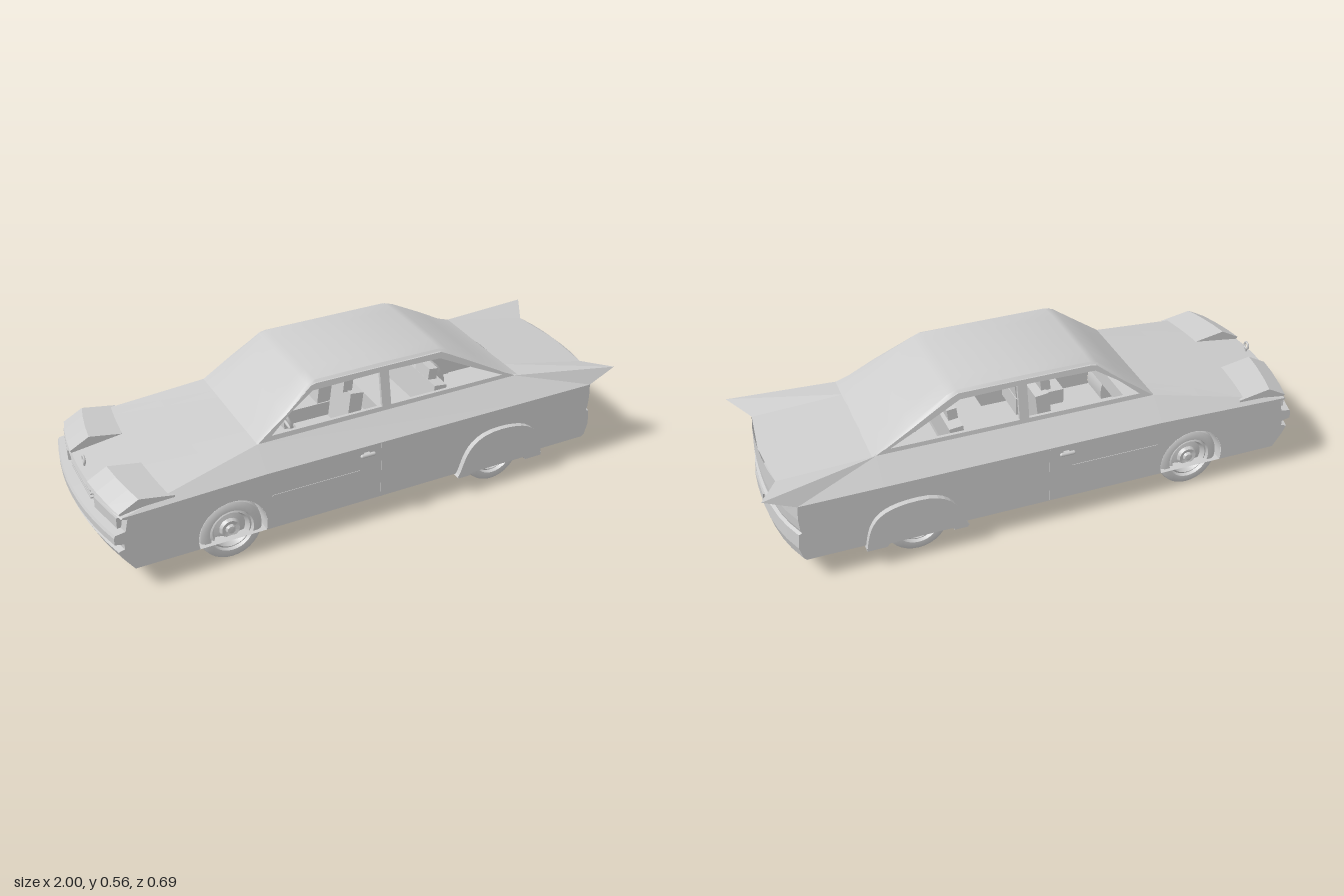
import * as THREE from 'three';
import { toCreasedNormals } from 'three/addons/utils/BufferGeometryUtils.js';

const flat = new THREE.MeshStandardMaterial({ color: 0xcccccc, flatShading: true, side: THREE.DoubleSide });
const smooth = new THREE.MeshStandardMaterial({ color: 0xcccccc, side: THREE.DoubleSide });
const lerp = THREE.MathUtils.lerp;
const W = 0.325, BELT = 0.245;
const ts = [-1, -0.8, -0.62, -0.4, -0.2, 0, 0.2, 0.4, 0.62, 0.8, 1];
const noseCurve = t => 0.045 * t * t;
const tailCurve = t => -0.06 * Math.pow(Math.abs(t), 2.5);

export function createModel() {
  const car = new THREE.Group();
  car.name = 'car';

  function add(name, geometry, material = flat, parent = car) {
    const mesh = new THREE.Mesh(geometry, material);
    mesh.name = name;
    parent.add(mesh);
    return mesh;
  }
  function box(name, x, y, z, w, h, d) {
    const mesh = add(name, new THREE.BoxGeometry(w, h, d));
    mesh.position.set(x, y, z);
    return mesh;
  }
  // Surface through rows of [x, y, z] points
  function surface(name, rows, material = flat) {
    const n = rows[0].length, index = [];
    for (let i = 0; i < rows.length - 1; i++) {
      for (let j = 0; j < n - 1; j++) {
        const a = i * n + j, b = a + n;
        index.push(a, a + 1, b, b, a + 1, b + 1);
      }
    }
    const g = new THREE.BufferGeometry();
    g.setAttribute('position', new THREE.Float32BufferAttribute(rows.flat(2), 3));
    g.setIndex(index);
    g.computeVertexNormals();
    return add(name, material === smooth ? toCreasedNormals(g, 0.5) : g, material);
  }
  const polygon = pts => new THREE.Shape(pts.map(p => new THREE.Vector2(...p)));

  // Nose and tail: [y, x] profiles swept across the curved width
  const nose = [[0.31, -0.965], [0.295, -0.97], [0.29, -0.95], [0.245, -0.96], [0.24, -0.995], [0.23, -1],
    [0.205, -1], [0.198, -0.968], [0.178, -0.968], [0.172, -0.99], [0.14, -0.975], [0.09, -0.94]];
  const tail = [[0.343, 0.95], [0.262, 0.953], [0.22, 0.95], [0.205, 0.945], [0.2, 0.957], [0.145, 0.962], [0.1, 0.95], [0.09, 0.94]];
  surface('noseAndFrontBumper', nose.map(([y, x], i) =>
    ts.map(t => [x + noseCurve(t), i ? y : y - 0.01 * t * t, W * t])));
  surface('tailAndRearBumper', tail.map(([y, x], i) =>
    ts.map(t => [x + tailCurve(t), i ? y : y - 0.028 * Math.max(0, (Math.abs(t) - 0.62) / 0.38), W * t])).reverse());
  surface('underbody', [ts.map(t => [0.94 + tailCurve(t), 0.09, W * t]), ts.map(t => [-0.94 + noseCurve(t), 0.09, W * t])]);

  // Hood, narrowing towards the windscreen
  surface('hood', [0, 0.33, 0.66, 1].map(u => ts.map(t => [
    lerp(-0.965 + noseCurve(t), -0.42, u), lerp(0.31 - 0.01 * t * t, 0.385, u), t * lerp(W, BELT, u)])).reverse());

  // Trunk lid sunk between the two fins
  surface('trunkAndFins', [
    [[0.6, 0.388, BELT], [0.61, 0.388, 0.155], [0.615, 0.39, 0], [0.61, 0.388, -0.155], [0.6, 0.388, -BELT]],
    [[1, 0.36, 0.318], [0.932, 0.343, 0.2], [0.95, 0.343, 0], [0.932, 0.343, -0.2], [1, 0.36, -0.318]]]);

  // Windscreen, roof and rear window in one skin: [x, y, half width, edge drop]
  const roofStations = [[-0.42, 0.385, 0.245, 0], [-0.31, 0.472, 0.235, 0.01], [-0.215, 0.545, 0.217, 0.014],
    [-0.185, 0.556, 0.215, 0.018], [0.06, 0.558, 0.215, 0.018], [0.3, 0.556, 0.215, 0.018],
    [0.335, 0.543, 0.217, 0.015], [0.47, 0.468, 0.235, 0.01], [0.565, 0.41, 0.243, 0.004], [0.615, 0.388, 0.245, 0]];
  surface('roofAndWindows', roofStations.map(([x, y, w, d]) =>
    [[-1, 1], [-0.93, 0.3], [-0.6, 0.05], [0, 0], [0.6, 0.05], [0.93, 0.3], [1, 1]].map(([k, f]) => [x, y - d * f, w * k])), smooth);

  for (const s of [1, -1]) {
    const side = s > 0 ? 'left' : 'right';

    // Lower side panel with an open front wheel arch
    const panel = new THREE.Shape();
    panel.moveTo(-0.92, 0.30);
    nose.slice(1).forEach(([y, x]) => panel.lineTo(x + 0.045, y));
    panel.lineTo(-0.67, 0.09);
    panel.absarc(-0.55, 0.12, 0.124, Math.PI + 0.245, -0.245, true);
    panel.lineTo(0.88, 0.09);
    tail.slice(1).reverse().forEach(([y, x]) => panel.lineTo(x - 0.06, y));
    panel.lineTo(0.89, 0.315);
    panel.lineTo(-0.42, 0.315);
    add(side + 'SidePanel', new THREE.ShapeGeometry(panel, 24)).position.z = s * W;
    const arch = [];
    for (let i = 0; i <= 16; i++) {
      const a = lerp(-0.245, Math.PI + 0.245, i / 16);
      arch.push([-0.55 + 0.124 * Math.cos(a), 0.12 + 0.124 * Math.sin(a)]);
    }
    surface(side + 'WheelWell', [0.2, W].map(z => arch.map(p => [...p, s * z])), smooth);
    add(side + 'WheelWellBack', new THREE.ShapeGeometry(polygon(arch))).position.z = s * 0.2;

    // Sloping shoulder that runs out into the tail fin
    surface(side + 'Shoulder', [
      [[-0.92, 0.3, s * W], [-0.42, 0.315, s * W], [0.6, 0.315, s * W], [0.89, 0.315, s * W]],
      [[-0.92, 0.3, s * W], [-0.42, 0.385, s * BELT], [0.6, 0.388, s * BELT], [1, 0.36, s * 0.318]]]);
    surface(side + 'FinUnderside', [
      [[0.89, 0.315, s * W], [1, 0.36, s * 0.318]],
      [[0.932, 0.343, s * 0.2], [0.932, 0.343, s * 0.2]]]);
    box(side + 'TailLight', 0.906, 0.325, s * 0.28, 0.03, 0.018, 0.06).rotation.y = s * 0.45;

    // Window frame, leaning inwards towards the roof
    const frame = polygon([[-0.42, 0.382], [-0.205, 0.54], [-0.185, 0.544], [0.3, 0.544], [0.335, 0.528], [0.6, 0.388], [0.6, 0.382]]);
    frame.holes.push(
      polygon([[-0.365, 0.402], [-0.285, 0.468], [-0.2, 0.522], [0.055, 0.526], [0.055, 0.402]]),
      polygon([[0.09, 0.402], [0.09, 0.526], [0.295, 0.522], [0.44, 0.452], [0.55, 0.402]]));
    const frameGeo = new THREE.ExtrudeGeometry(frame, { depth: 0.012, bevelEnabled: false });
    const p = frameGeo.attributes.position;
    for (let i = 0; i < p.count; i++) {
      p.setZ(i, s * (BELT - 0.006 - (p.getY(i) - 0.385) * 0.19) + p.getZ(i) - 0.006);
    }
    frameGeo.computeVertexNormals();
    add(side + 'WindowFrame', frameGeo);

    // Rear fender skirt with its two bottom feet
    const skirt = new THREE.Shape();
    skirt.moveTo(0.315, 0.085);
    skirt.bezierCurveTo(0.345, 0.11, 0.33, 0.243, 0.49, 0.243);
    skirt.bezierCurveTo(0.65, 0.243, 0.665, 0.18, 0.68, 0.078);
    skirt.lineTo(0.61, 0.078);
    skirt.lineTo(0.6, 0.09);
    skirt.lineTo(0.38, 0.09);
    skirt.lineTo(0.37, 0.085);
    add(side + 'FenderSkirt', new THREE.ExtrudeGeometry(skirt, { depth: 0.025, bevelEnabled: false, curveSegments: 12 }))
      .position.z = s > 0 ? 0.32 : -0.345;
    box(side + 'SkirtFrontFoot', 0.345, 0.085, s * 0.297, 0.05, 0.012, 0.094);
    box(side + 'SkirtRearFoot', 0.645, 0.083, s * 0.297, 0.07, 0.012, 0.094);

    // Wheels with a dished rim and hub cap
    const tire = [[0, -0.045], [0.1, -0.045], [0.111, -0.038], [0.115, -0.02], [0.115, 0.02], [0.111, 0.038], [0.1, 0.045],
      [0.08, 0.045], [0.076, 0.032], [0.068, 0.038], [0.058, 0.02], [0.038, 0.024], [0.032, 0.036], [0.018, 0.032], [0.014, 0.042], [0, 0.044]];
    const wheelGeo = toCreasedNormals(new THREE.LatheGeometry(tire.map(q => new THREE.Vector2(...q)), 32), 0.6);
    for (const [name, x] of [['FrontWheel', -0.55], ['RearWheel', 0.49]]) {
      const wheel = add(side + name, wheelGeo, smooth);
      wheel.position.set(x, 0.116, s * 0.265);
      wheel.rotation.x = s * Math.PI / 2;
    }

    // Headlight brow and lens
    surface(side + 'HeadlightBrow', [0.1, 0.1, 0.17, 0.25, 0.312, 0.312].map((z, i) => {
      const t = z / W, c = noseCurve(t), cap = i === 0 || i === 5;
      return [[-0.78, 0.335], [-0.9, 0.356], [-0.97, 0.318], [-0.955, 0.296], [-0.78, 0.32], [-0.78, 0.335]]
        .map(([x, y]) => cap ? [-0.88 + c, 0.325 - 0.012 * t * t, s * z] : [x + c, y - 0.012 * t * t, s * z]);
    }));
    box(side + 'Headlight', -0.937, 0.268, s * 0.225, 0.025, 0.04, 0.15).rotation.y = s * 0.19;

    // Door handle, trim line and door seam
    const handle = add(side + 'DoorHandle', new THREE.CapsuleGeometry(0.007, 0.045, 4, 10), smooth);
    handle.position.set(-0.05, 0.288, s * 0.338);
    handle.rotation.z = Math.PI / 2;
    box(side + 'HandleMount', -0.05, 0.288, s * 0.329, 0.02, 0.008, 0.012);
    box(side + 'SideTrim', -0.24, 0.222, s * W, 0.33, 0.005, 0.004);
    box(side + 'DoorSeam', 0.01, 0.2, s * W, 0.003, 0.22, 0.003);

    // Front seat
    box(side + 'SeatCushion', -0.1, 0.255, s * 0.115, 0.19, 0.07, 0.15);
    box(side + 'SeatBack', -0.025, 0.36, s * 0.115, 0.05, 0.17, 0.14).rotation.z = -0.12;
    box(side + 'HeadRest', -0.042 + 0.005, 0.468, s * 0.115, 0.035, 0.05, 0.09).rotation.z = -0.12;
    box(side + 'RearHeadRest', 0.305, 0.425, s * 0.115, 0.035, 0.045, 0.09).rotation.z = -0.12;
  }

  // Rest of the cabin
  box('rearSeatCushion', 0.22, 0.255, 0, 0.18, 0.07, 0.42);
  box('rearSeatBack', 0.3, 0.33, 0, 0.05, 0.15, 0.42).rotation.z = -0.12;
  box('dashboard', -0.37, 0.345, 0, 0.09, 0.06, 0.44);
  const steering = add('steeringWheel', new THREE.TorusGeometry(0.045, 0.006, 8, 24), smooth);
  steering.position.set(-0.26, 0.375, 0.115);
  steering.rotation.set(0, Math.PI / 2, 0.35, 'ZYX');
  const column = add('steeringColumn', new THREE.CylinderGeometry(0.007, 0.007, 0.1, 8), smooth);
  column.position.set(-0.305, 0.358, 0.115);
  column.rotation.z = Math.PI / 2 + 0.35;

  // Grille bars and hood ornament
  for (let i = 0; i < 3; i++) box('grilleBar', -0.957, 0.255 + i * 0.014, 0, 0.012, 0.005, 0.22);
  const ring = add('ornamentRing', new THREE.TorusGeometry(0.013, 0.004, 8, 20), smooth);
  ring.position.set(-0.945, 0.338, 0);
  ring.rotation.y = Math.PI / 2;
  box('ornamentStem', -0.945, 0.318, 0, 0.006, 0.02, 0.006);

  // Number plate recess and trunk seam
  const plate = add('numberPlate', new THREE.ExtrudeGeometry(
    polygon([[-0.07, 0.203], [-0.052, 0.174], [0.052, 0.174], [0.07, 0.203]]), { depth: 0.006, bevelEnabled: false }));
  plate.position.x = 0.957;
  plate.rotation.y = Math.PI / 2;
  surface('trunkSeam', [0.261, 0.264].map(y => ts.slice(2, 9).map(t => [0.9545 + tailCurve(t), y, W * t])));

  return car;
}
